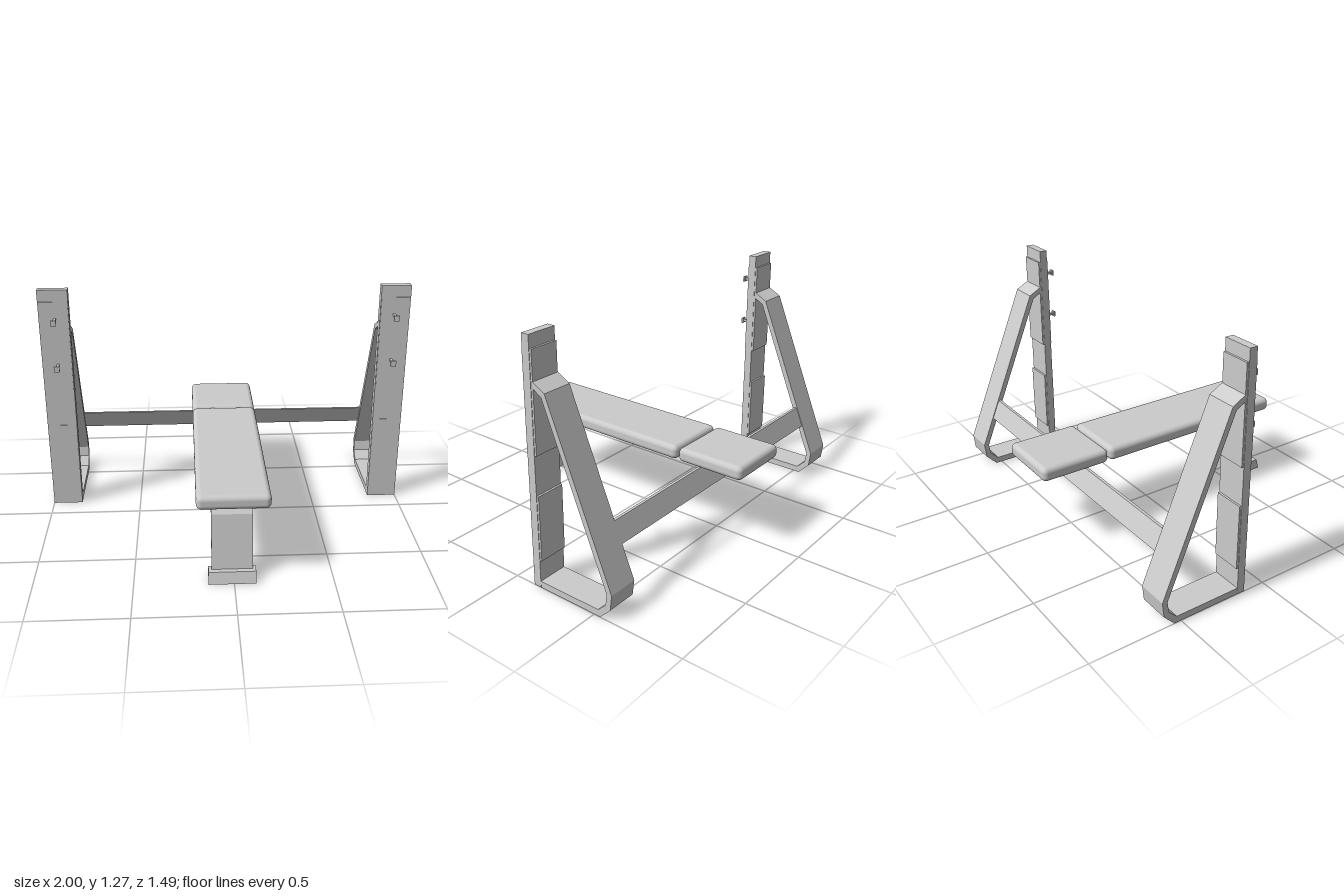
import * as THREE from 'three';
import { RoundedBoxGeometry } from 'three/addons/geometries/RoundedBoxGeometry.js';

const material = new THREE.MeshStandardMaterial({ color: 0xcccccc });

function add(parent, name, geometry, x = 0, y = 0, z = 0) {
  const mesh = new THREE.Mesh(geometry, material);
  mesh.name = name;
  mesh.position.set(x, y, z);
  parent.add(mesh);
  return mesh;
}

// Side profile given as [z, y] points, extruded across x and centred on x = 0
function sideProfile(points, width) {
  const shape = new THREE.Shape(points.map(([z, y]) => new THREE.Vector2(z, y)));
  const geometry = new THREE.ExtrudeGeometry(shape, { depth: width, bevelEnabled: false });
  geometry.translate(0, 0, -width / 2);
  geometry.rotateY(-Math.PI / 2);
  return geometry;
}

// Box spanning the given y and z ranges, centred on x = 0
function spanBox(width, y0, y1, z0, z1) {
  const geometry = new THREE.BoxGeometry(width, y1 - y0, Math.abs(z1 - z0));
  geometry.translate(0, (y0 + y1) / 2, (z0 + z1) / 2);
  return geometry;
}

function createRack(side) {
  const rack = new THREE.Group();
  rack.name = side > 0 ? 'leftRack' : 'rightRack';
  rack.position.x = side * 0.919;

  // Upright post with two thicker sleeves
  add(rack, 'upright', spanBox(0.162, 0, 1.275, -0.162, -0.119));
  add(rack, 'lowerSleeve', spanBox(0.157, 0.15, 0.495, -0.173, -0.117));
  add(rack, 'upperSleeve', spanBox(0.157, 0.70, 1.21, -0.173, -0.115));

  // Bent flat band: floor runner, rear bend and sloping brace
  add(rack, 'braceBand', sideProfile([
    [-0.16, 0], [-0.537, 0], [-0.597, 0.062], [-0.607, 0.143],
    [-0.242, 1.022], [-0.17, 1.062], [-0.17, 1.03], [-0.22, 1.0],
    [-0.578, 0.138], [-0.57, 0.08], [-0.524, 0.035], [-0.16, 0.035],
  ], 0.16));

  // Bar pegs with square heads
  for (const y of [0.855, 1.113]) {
    add(rack, 'pegShaft', new THREE.BoxGeometry(0.013, 0.013, 0.07), -side * 0.005, y, -0.085);
    add(rack, 'pegHead', new THREE.BoxGeometry(0.03, 0.03, 0.01), -side * 0.005, y, -0.05);
  }
  return rack;
}

export function createModel() {
  const model = new THREE.Group();
  model.name = 'weightBench';

  model.add(createRack(1), createRack(-1));

  // Sloping cross bar joining the two braces
  add(model, 'crossBar', sideProfile([
    [-0.476, 0.412], [-0.520, 0.306], [-0.535, 0.306], [-0.491, 0.412],
  ], 1.69));

  // Bench pads
  const pads = [['backPad', 0.745, -0.35], ['headPad', -0.361, -0.745]];
  for (const [name, z0, z1] of pads) {
    add(model, name, new RoundedBoxGeometry(0.365, 0.076, z0 - z1, 4, 0.027),
      -0.003, 0.453, (z0 + z1) / 2);
  }

  // Flat bench rail bent down into the front leg
  add(model, 'benchRail', sideProfile([
    [-0.517, 0.403], [-0.517, 0.433], [0.56, 0.433], [0.612, 0.398],
    [0.656, 0.345], [0.706, 0.05], [0.68, 0.05], [0.632, 0.335],
    [0.595, 0.38], [0.545, 0.403],
  ], 0.207), -0.008);

  // Tapered foot under the front leg
  add(model, 'foot', sideProfile([
    [0.748, 0], [0.73, 0.06], [0.673, 0.06], [0.653, 0],
  ], 0.238), -0.009);

  return model;
}
